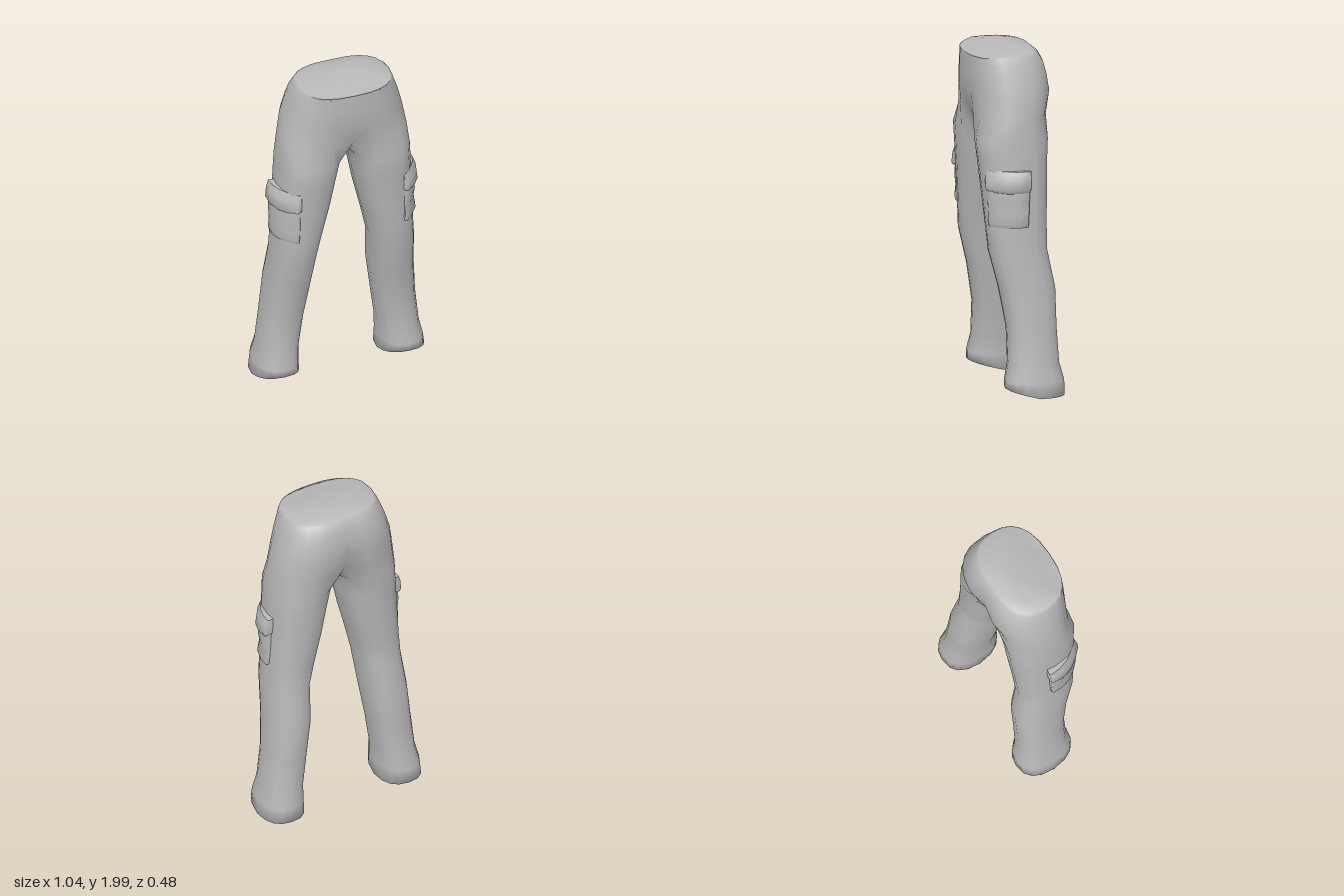
import * as THREE from 'three';
import { mergeVertices, toCreasedNormals } from 'three/addons/utils/BufferGeometryUtils.js';

const cloth = new THREE.MeshStandardMaterial({ color: 0xb8b8b8 });
cloth.name = 'grey cloth';

// Rounded-square sine and cosine
const soft = (v, p) => Math.sign(v) * Math.pow(Math.abs(v), p);

// Collects the quads of a ring stack, going upward; closed rings wrap round
function stitch(out, rings, closed, side) {
  for (let i = 0; i + 1 < rings.length; i++) {
    const a = rings[i], b = rings[i + 1];
    const n = closed ? a.length : Math.min(a.length, b.length) - 1;
    for (let k = 0; k < n; k++) {
      const m = (k + 1) % a.length;
      const tris = [a[k], a[m], b[m], a[k], b[m], b[k]];
      if (side < 0) tris.reverse();
      for (const [x, y, z] of tris) out.push(x * side, y, z);
    }
  }
}

function toGeometry(positions) {
  const g = new THREE.BufferGeometry();
  g.setAttribute('position', new THREE.Float32BufferAttribute(positions, 3));
  return g;
}

// Leg sections: y, inner x, outer x, front z, back z
const LEG = [
  [0.10, 0.255, 0.51, 0.112, -0.235],
  [0.20, 0.25, 0.487, 0.09, -0.208],
  [0.40, 0.222, 0.465, 0.09, -0.2],
  [0.63, 0.19, 0.445, 0.13, -0.2],
  [0.85, 0.172, 0.427, 0.185, -0.158],
  [1.00, 0.138, 0.417, 0.195, -0.16],
  [1.20, 0.088, 0.408, 0.21, -0.168],
  [1.38, 0.052, 0.4, 0.225, -0.175],
  [1.49, 0.03, 0.393, 0.235, -0.183],
];

// Hip sections: y, half width, front z, back z, groove depth at front and back centre
const HIPS = [
  [1.62, 0.383, 0.238, -0.205, 0.035, 0.05],
  [1.75, 0.357, 0.243, -0.232, 0.0, 0.035],
  [1.85, 0.33, 0.245, -0.218, 0.0, 0.025],
  [1.92, 0.305, 0.245, -0.2, 0.0, 0.015],
  [1.965, 0.288, 0.245, -0.172, 0.0, 0.008],
];

function legRing([y, xi, xo, zf, zb], hem = false, scale = 1) {
  const ring = [];
  const cx = (xi + xo) / 2, cz = (zf + zb) / 2;
  for (let k = 0; k < 16; k++) {
    const a = -Math.PI / 4 + (k * Math.PI) / 8;
    const s = soft(Math.sin(a), 0.82), c = soft(Math.cos(a), 0.82);
    const lift = hem ? 0.045 * Math.max(0, c) * scale : 0;
    ring.push([cx + (s * (xo - xi) * scale) / 2, y + lift, cz + (c * (zf - zb) * scale) / 2]);
  }
  return ring;
}

function hipRing([y, w, zf, zb, gf, gb], p = 0.82) {
  const ring = [];
  for (let k = 0; k <= 12; k++) {
    const a = (k * Math.PI) / 12;
    const s = k % 12 ? soft(Math.sin(a), p) : 0, c = soft(Math.cos(a), p);
    const x = w * s;
    const groove = Math.exp(-((x / 0.09) ** 2)) * (c > 0 ? -gf : gb);
    ring.push([x, y, (zf + zb) / 2 + (c * (zf - zb)) / 2 + groove]);
  }
  return ring;
}

function trousersGeometry() {
  // Closed hem, then the leg
  const bottom = [0.01, 0.25, 0.52, 0.11, -0.235];
  const legs = [legRing(bottom, true, 0.001), legRing(bottom, true, 0.65),
    legRing(bottom, true), ...LEG.map((r) => legRing(r))];

  const hips = HIPS.map((r) => hipRing(r));

  // Crotch seam joins the lowest hip ring to the leg
  const seam = hips[0].map((p) => [...p]);
  const front = seam[0], back = seam[12];
  for (let k = 1; k < 4; k++) {
    const t = k / 4;
    const y = 1.62 - 0.115 * Math.sin(Math.PI * t) ** 0.7;
    seam.push([0, y, back[2] + (front[2] - back[2]) * t]);
  }
  legs.push(seam);

  // Waist edge dips at the front and closes with a shallow dome
  const rim = hipRing([1.98, 0.272, 0.243, -0.15, 0, 0.005], 0.75)
    .map(([x, y, z]) => [x, y - 0.028 * Math.max(0, (z - 0.12) / 0.123), z]);
  hips.push(rim);
  for (const f of [0.7, 0.35, 0]) {
    hips.push(rim.map(([x, y, z]) => [x * f, 2 - (2 - y) * f * f, -0.03 + (z + 0.03) * f]));
  }

  const out = [];
  for (const side of [1, -1]) {
    stitch(out, legs, true, side);
    stitch(out, hips, false, side);
  }
  const g = mergeVertices(toGeometry(out), 1e-4);
  g.computeVertexNormals();
  return g;
}

// Pocket outline wrapped round the outer front of the thigh: x, z
const WRAP = [[0.28, 0.16], [0.318, 0.212], [0.338, 0.212], [0.385, 0.163],
  [0.425, 0.105], [0.445, 0.04], [0.446, -0.025], [0.432, -0.035], [0.36, -0.03]];

// Rows: y, outward puff, narrowing, sag of the middle
function pocketGeometry(rows, side) {
  const rings = rows.map(([y, puff, narrow, sag]) => WRAP.map(([x, z], k) => {
    const bulge = Math.sin((Math.PI * k) / 8);
    return [
      x + puff * 0.8 * bulge + (0.375 - x) * narrow,
      y - sag * bulge,
      z + puff * 0.5 * bulge + (0.09 - z) * narrow,
    ];
  }));
  const out = [];
  stitch(out, rings, true, side);
  return toCreasedNormals(toGeometry(out), Math.PI / 3.2);
}

const FLAP = [
  [1.235, -0.05, 0.4, 0.02],
  [1.235, 0.0, 0.03, 0.03],
  [1.25, 0.011, 0.0, 0.028],
  [1.29, 0.004, 0.01, 0.005],
  [1.328, -0.018, 0.04, -0.004],
  [1.332, -0.06, 0.5, 0],
];
const POUCH = [
  [1.01, -0.07, 0.5, 0],
  [1.006, -0.002, 0.16, 0.004],
  [1.03, 0.006, 0.13, 0.002],
  [1.10, -0.008, 0.12, 0],
  [1.16, 0.0, 0.1, 0],
  [1.26, -0.012, 0.1, 0],
];

export function createModel() {
  const model = new THREE.Group();
  model.name = 'cargoTrousers';

  const add = (name, geometry, parent) => {
    const mesh = new THREE.Mesh(geometry, cloth);
    mesh.name = name;
    parent.add(mesh);
  };

  add('trousers', trousersGeometry(), model);

  for (const [side, label] of [[1, 'left'], [-1, 'right']]) {
    const pocket = new THREE.Group();
    pocket.name = label + 'Pocket';
    add(label + 'PocketPouch', pocketGeometry(POUCH, side), pocket);
    add(label + 'PocketFlap', pocketGeometry(FLAP, side), pocket);
    model.add(pocket);
  }
  return model;
}
